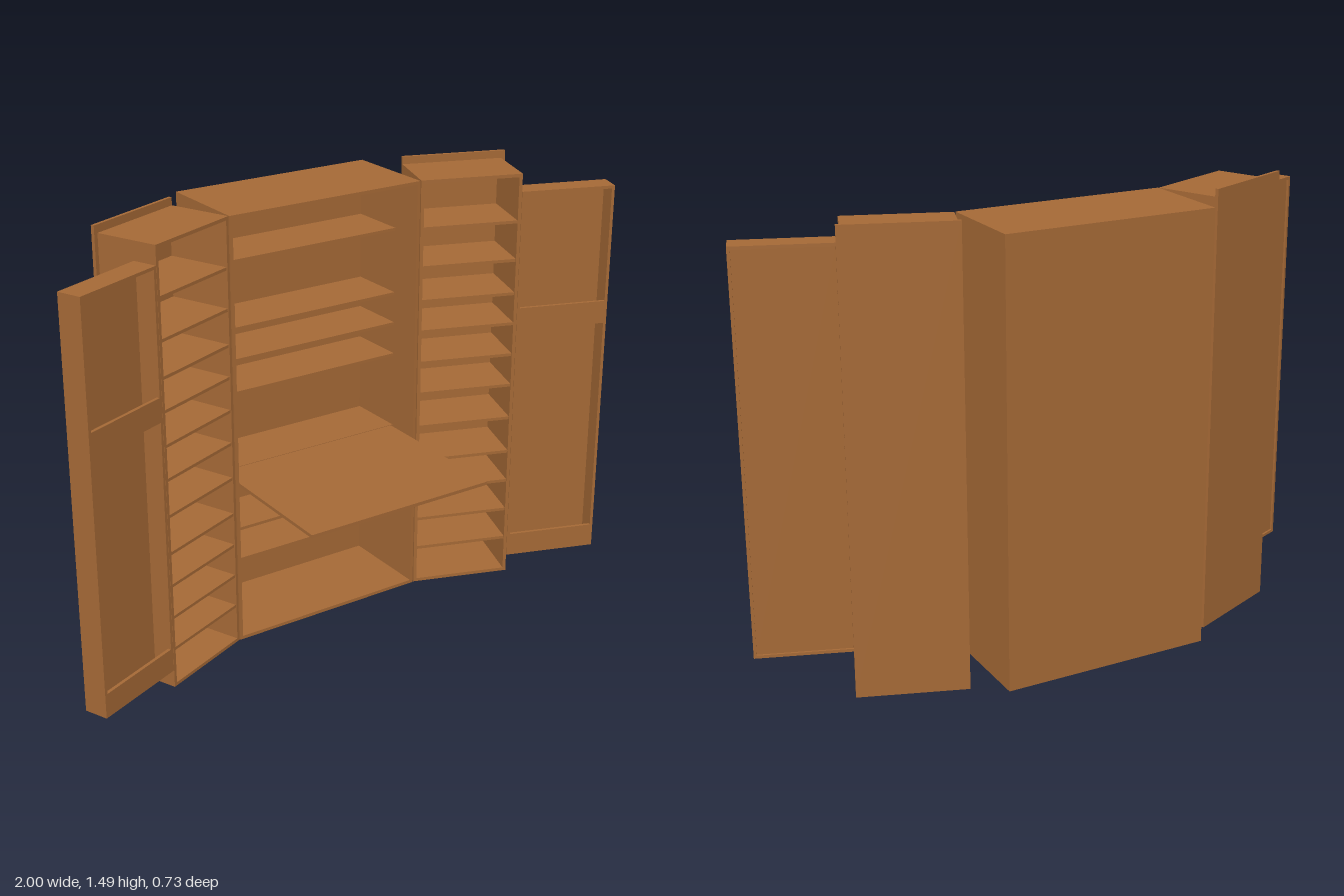
import * as THREE from 'three';

const wood = new THREE.MeshStandardMaterial({ color: 0xa56936 });
wood.name = 'warm wood';

// Box given by its min/max extents on each axis
function board(parent, name, x0, x1, y0, y1, z0, z1) {
  const mesh = new THREE.Mesh(
    new THREE.BoxGeometry(Math.abs(x1 - x0), y1 - y0, z1 - z0), wood);
  mesh.position.set((x0 + x1) / 2, (y0 + y1) / 2, (z0 + z1) / 2);
  mesh.name = name;
  parent.add(mesh);
  return mesh;
}

// Four boards around an opening (x sides, top and bottom)
function carcass(parent, name, x0, x1, y0, y1, z0, z1, t) {
  const d = Math.sign(x1 - x0) * t;
  board(parent, name + 'SideA', x0, x0 + d, y0, y1, z0, z1);
  board(parent, name + 'SideB', x1 - d, x1, y0, y1, z0, z1);
  board(parent, name + 'Bottom', x0 + d, x1 - d, y0, y0 + t, z0, z1);
  board(parent, name + 'Top', x0 + d, x1 - d, y1 - t, y1, z0, z1);
}

const Y0 = 0.025, Y1 = 1.46, T = 0.011;

// Middle cabinet with shelves and fold-out desk
function centreCabinet() {
  const g = new THREE.Group();
  g.name = 'centreCabinet';
  const w = 0.35, d = 0.161;
  carcass(g, 'centre', -w, w, Y0, Y1, -d, d, T);
  board(g, 'centreBack', -w + T, w - T, Y0 + T, Y1 - T, -d, -d + 0.01);
  for (const y of [1.275, 1.055, 0.95, 0.84, 0.58, 0.36, 0.248])
    board(g, 'centreShelf', -w + T, w - T, y - 0.005, y + 0.005, -d + 0.01, 0.045);

  const desk = board(g, 'foldOutDesk', -0.332, 0.332, 0.569, 0.58, 0.02, 0.567);
  desk.rotation.x = 0.014;
  g.position.set(-0.006, 0, -0.206);
  g.rotation.y = -0.01;
  return g;
}

// Angled side cabinet with its opened tray door; s = +1 for left, -1 for right
function sideCabinet(s, x, z, angle) {
  const g = new THREE.Group();
  g.name = s > 0 ? 'leftCabinet' : 'rightCabinet';
  const w = 0.34, d = 0.21;
  carcass(g, 'side', 0, s * w, Y0, Y1, -d, 0, T);
  for (const y of [1.3, 1.17, 1.055, 0.95, 0.84, 0.73, 0.61, 0.485, 0.375, 0.265, 0.155])
    board(g, 'sideShelf', s * T, s * (w - T), y - 0.005, y + 0.005, -d, -0.003);
  board(g, 'sideBackPanel', 0, s * 0.354, 0, 1.485, -d - 0.011, -d);

  // Door: shallow tray with front rails and a recessed panel
  const door = new THREE.Group();
  door.name = 'door';
  const a = 0.341, b = 0.661, y0 = 0.085, y1 = 1.4, t = 0.01;
  carcass(door, 'door', s * a, s * b, y0, y1, -0.08, 0, t);
  board(door, 'doorPanel', s * (a + t), s * (b - t), y0 + t, y1 - t, -0.073, -0.066);
  for (const [r0, r1] of [[y0 + t, 0.165], [0.925, 1.003]])
    board(door, 'doorRail', s * (a + t), s * (b - t), r0, r1, -0.011, 0);
  g.add(door);

  g.position.set(x, 0, z);
  g.rotation.y = -s * THREE.MathUtils.degToRad(angle);
  return g;
}

export function createModel() {
  const model = new THREE.Group();
  model.name = 'openCabinet';
  model.add(centreCabinet());
  model.add(sideCabinet(1, 0.347, -0.043, 20.2));
  model.add(sideCabinet(-1, -0.36, -0.05, 22.2));
  return model;
}
